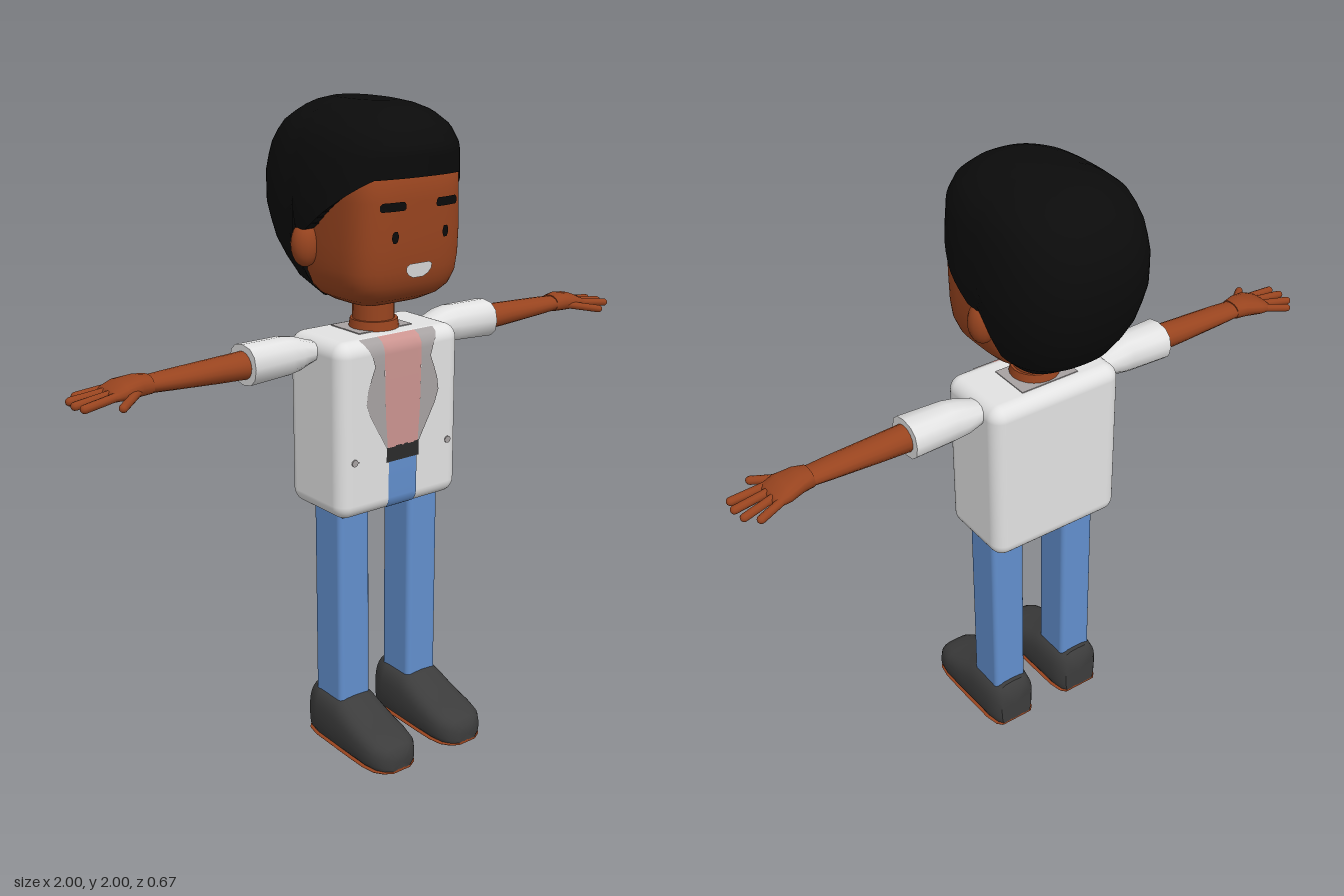
import * as THREE from 'three';
import { toCreasedNormals } from 'three/addons/utils/BufferGeometryUtils.js';
import { RoundedBoxGeometry } from 'three/addons/geometries/RoundedBoxGeometry.js';

const mat = (name, color) => Object.assign(new THREE.MeshStandardMaterial({ color }), { name });
const skin = mat('skin', 0x98441f), hairBlack = mat('hair black', 0x0b0b0b), white = mat('jacket white', 0xe2e2e2),
  grey = mat('lapel grey', 0xa7a2a2), pink = mat('shirt pink', 0xcb9490), denim = mat('denim blue', 0x628fcd),
  shoeGrey = mat('shoe grey', 0x3c3c3c), beltBlack = mat('belt black', 0x2a2a2a);

function add(parent, name, geo, material, x = 0, y = 0, z = 0) {
  const m = new THREE.Mesh(geo, material);
  m.name = name;
  m.position.set(x, y, z);
  parent.add(m);
  return m;
}

// Linear lookup in rows sorted by their first number
function lookup(rows, t) {
  if (t <= rows[0][0]) return rows[0];
  for (let i = 1; i < rows.length; i++) {
    if (t <= rows[i][0]) {
      const a = rows[i - 1], b = rows[i], k = (t - a[0]) / (b[0] - a[0]);
      return a.map((v, j) => v + (b[j] - v) * k);
    }
  }
  return rows[rows.length - 1];
}

const sp = (v, e) => Math.sign(v) * Math.abs(v) ** (2 / e);
// Closed loop of n points from a function of angle
const loop = (n, fn) => Array.from({ length: n }, (_, i) => fn(i / n * Math.PI * 2));
const centre = ring => {
  const c = [0, 1, 2].map(k => ring.reduce((s, p) => s + p[k], 0) / ring.length);
  return ring.map(() => c);
};

// Skin closed rings into a solid that always faces outwards
function loft(rings, crease = 0.8, caps = true) {
  if (caps) rings = [centre(rings[0]), ...rings, centre(rings[rings.length - 1])];
  const n = rings[0].length, pos = rings.flat(2), idx = [];
  for (let j = 0; j < rings.length - 1; j++) {
    for (let i = 0; i < n; i++) {
      const a = j * n + i, b = j * n + (i + 1) % n;
      idx.push(a, b, b + n, a, b + n, a + n);
    }
  }
  const p = i => new THREE.Vector3().fromArray(pos, idx[i] * 3);
  const o = new THREE.Vector3(...rings[1][0]);
  let volume = 0;
  for (let i = 0; i < idx.length; i += 3) volume += p(i).sub(o).dot(p(i + 1).sub(o).cross(p(i + 2).sub(o)));
  if (volume < 0) idx.reverse();
  const geo = new THREE.BufferGeometry();
  geo.setAttribute('position', new THREE.Float32BufferAttribute(pos, 3));
  geo.setIndex(idx);
  return toCreasedNormals(geo, crease);
}

// Painted patch hugging a front surface; rows run downwards as [y, xMin, xMax]
function patch(rows, zAt, side = 1) {
  const pos = [], idx = [], n = 8;
  rows.forEach(([y, x0, x1], j) => {
    const [a, b] = side > 0 ? [x0, x1] : [-x1, -x0];
    for (let i = 0; i <= n; i++) {
      const x = a + (b - a) * i / n;
      pos.push(x, y, zAt(x, y) + 0.004);
      if (j && i) {
        const d = j * (n + 1) + i, u = d - n - 1;
        idx.push(u - 1, d - 1, d, u - 1, d, u);
      }
    }
  });
  const geo = new THREE.BufferGeometry();
  geo.setAttribute('position', new THREE.Float32BufferAttribute(pos, 3));
  geo.setIndex(idx);
  geo.computeVertexNormals();
  return geo;
}

// Head profile: y, half width, front z, back z
const HEAD = [[1.41, 0.07, 0.09, -0.04], [1.425, 0.12, 0.14, -0.07], [1.445, 0.155, 0.18, -0.09], [1.47, 0.18, 0.205, -0.1],
  [1.51, 0.195, 0.222, -0.11], [1.56, 0.2, 0.23, -0.12], [1.65, 0.2, 0.235, -0.12], [1.82, 0.195, 0.235, -0.12], [1.88, 0.16, 0.18, -0.1]];
const faceZ = (x, y) => {
  const [, w, f, b] = lookup(HEAD, y), c = (f + b) / 2;
  return c + (f - c) * (1 - Math.min(1, Math.abs(x / w)) ** 4) ** 0.25;
};

// Hair profile: y, half width, front z, back z
const HAIR = [[1.42, 0.11, 0.265, -0.14], [1.45, 0.15, 0.265, -0.195], [1.5, 0.185, 0.265, -0.245], [1.6, 0.23, 0.265, -0.3],
  [1.7, 0.248, 0.265, -0.328], [1.8, 0.243, 0.265, -0.332], [1.88, 0.227, 0.275, -0.305], [1.93, 0.203, 0.25, -0.265],
  [1.97, 0.155, 0.2, -0.215], [1.99, 0.105, 0.15, -0.18], [2, 0.06, 0.1, -0.14]];
// Hairline height by direction: -1 is back, 1 is front
const HAIRLINE = [[-1, 1.42], [-0.16, 1.425], [-0.1, 1.64], [0.15, 1.645], [0.4, 1.7], [0.85, 1.8], [1, 1.805]];

function buildHead(g) {
  const steps = [];
  for (let i = 0; i < HEAD.length - 1; i++) steps.push(HEAD[i], lookup(HEAD, (HEAD[i][0] + HEAD[i + 1][0]) / 2));
  add(g, 'head', loft([...steps, HEAD[HEAD.length - 1]].map(([y, w, f, b]) => loop(48, t =>
    [w * sp(Math.sin(t), 4), y, (f + b) / 2 + (f - b) / 2 * sp(Math.cos(t), 4)])), 1), skin);

  const rings = [], n = 72, zc = -0.04;
  for (let j = 0; j <= 16; j++) {
    rings.push(loop(n, t => {
      const c = sp(Math.cos(t), 2.5), rim = lookup(HAIRLINE, c)[1];
      const y = rim + (2 - rim) * Math.sin(j / 16 * Math.PI / 2);
      const [, w, f, b] = lookup(HAIR, y);
      return [w * sp(Math.sin(t), 2.5), y, zc + c * (c > 0 ? f - zc : zc - b)];
    }));
  }
  // Underside of the hair folds inwards to the middle of the head
  rings.unshift(rings[0].map(p => [0, p[1], zc]));
  rings.push(centre(rings[rings.length - 1]));
  add(g, 'hair', loft(rings, 0.9, false), hairBlack);

  for (const s of [1, -1]) {
    add(g, 'ear', new THREE.SphereGeometry(1, 16, 12), skin, s * 0.212, 1.595, -0.03).scale.set(0.043, 0.066, 0.042);
    add(g, 'eyebrow', patch([[1.737, 0.062, 0.132], [1.73, 0.056, 0.14], [1.718, 0.055, 0.14], [1.712, 0.06, 0.136]], faceZ, s), hairBlack);
    add(g, 'eye', patch([[1.655, 0.085, 0.098], [1.645, 0.081, 0.103], [1.633, 0.081, 0.103], [1.622, 0.086, 0.098]], faceZ, s), hairBlack);
  }
  add(g, 'smile', patch([[1.557, -0.035, 0.035], [1.55, -0.047, 0.047], [1.535, -0.046, 0.046], [1.523, -0.036, 0.036], [1.514, -0.018, 0.018]], faceZ), white);
  add(g, 'neck', new THREE.CylinderGeometry(0.064, 0.064, 0.14, 20), skin, 0, 1.38, 0.02);
  add(g, 'neckBase', new THREE.CylinderGeometry(0.072, 0.077, 0.03, 20), skin, 0, 1.343, 0.022);
}

function buildTorso(g) {
  const r = 0.045, top = 1.33, bottom = 0.785;
  add(g, 'jacket', new RoundedBoxGeometry(0.46, top - bottom, 0.27, 5, r), white, 0, (top + bottom) / 2, 0.025);
  const frontZ = (x, y) => {
    const d = Math.min(r, Math.max(0, y - top + r, bottom + r - y));
    return 0.16 - r + Math.sqrt(r * r - d * d);
  };
  add(g, 'shirt', patch([[1.329, -0.07, 0.07], [1.318, -0.07, 0.07], [1.3, -0.07, 0.07], [1.28, -0.07, 0.07], [1.1, -0.066, 0.066], [0.99, -0.058, 0.058]], frontZ), pink);
  add(g, 'belt', patch([[0.993, -0.062, 0.062], [0.945, -0.062, 0.062]], frontZ), beltBlack);
  add(g, 'trouserFront', patch([[0.945, -0.054, 0.054], [0.83, -0.054, 0.054], [0.81, -0.054, 0.054], [0.795, -0.054, 0.054], [0.787, -0.054, 0.054]], frontZ), denim);
  for (const s of [1, -1]) {
    add(g, 'lapel', patch([[1.329, 0.07, 0.14], [1.318, 0.07, 0.136], [1.3, 0.07, 0.125], [1.28, 0.07, 0.115], [1.25, 0.069, 0.106],
      [1.22, 0.069, 0.118], [1.18, 0.068, 0.132], [1.14, 0.067, 0.138], [1.1, 0.066, 0.124], [0.99, 0.058, 0.062]], frontZ, s), grey);
    add(g, 'pocketSeam', patch([[0.971, 0.165, 0.185], [0.966, 0.165, 0.185]], frontZ, s), grey);
    add(g, 'pocketStud', new THREE.CylinderGeometry(0.011, 0.011, 0.004, 12), grey, s * 0.18, 0.968, 0.162).rotation.x = Math.PI / 2;
  }
  add(g, 'collar', new THREE.BoxGeometry(0.2, 0.006, 0.14), grey, 0, 1.33, 0.01);
  add(g, 'trouserSeat', new THREE.BoxGeometry(0.38, 0.006, 0.17), denim, 0, 0.784, 0.03);
}

// Limb along x from rows of x, centre y, centre z, half height, half depth
const limb = (rows, s, n, e) => loft(rows.map(([x, y, z, h, d]) => loop(n, t =>
  [s * x, y + h * sp(Math.sin(t), e), z + d * sp(Math.cos(t), e)])), 0.9);

function buildArm(g, s) {
  add(g, 'sleeve', limb([[0.215, 1.287, 0, 0.028, 0.045], [0.235, 1.287, 0, 0.034, 0.052], [0.28, 1.287, 0, 0.05, 0.06],
    [0.32, 1.287, 0.002, 0.057, 0.062], [0.46, 1.284, 0.006, 0.06, 0.068]], s, 12, 2.4), white);
  add(g, 'forearm', limb([[0.4, 1.283, 0.007, 0.044, 0.046], [0.55, 1.283, 0.006, 0.037, 0.044], [0.7, 1.284, 0.005, 0.029, 0.041],
    [0.78, 1.284, 0.004, 0.024, 0.037]], s, 16, 2), skin);
  add(g, 'palm', limb([[0.765, 1.285, 0.004, 0.027, 0.038], [0.8, 1.287, 0.004, 0.03, 0.046], [0.85, 1.283, 0, 0.026, 0.06],
    [0.885, 1.276, -0.002, 0.018, 0.056], [0.895, 1.274, -0.002, 0.01, 0.05]], s, 16, 2.4), skin);
  const fingers = [[0.87, -0.045, 0.952, -0.07], [0.88, -0.018, 0.985, -0.036], [0.88, 0.012, 0.992, 0.01], [0.87, 0.04, 0.985, 0.05], [0.81, 0.035, 0.9, 0.108]];
  for (const [x0, z0, x1, z1] of fingers) {
    const a = new THREE.Vector3(s * x0, 1.279, z0), b = new THREE.Vector3(s * x1, 1.264, z1);
    const dir = b.clone().sub(a), mid = a.clone().add(b).multiplyScalar(0.5);
    const f = add(g, 'finger', new THREE.CapsuleGeometry(0.0125, dir.length() - 0.012, 4, 10), skin, mid.x, mid.y, mid.z);
    f.quaternion.setFromUnitVectors(new THREE.Vector3(0, 1, 0), dir.normalize());
  }
}

// Shoe sections: z, half width, height
const SHOE = [[-0.06, 0.06, 0.15], [-0.045, 0.074, 0.168], [0, 0.084, 0.171], [0.09, 0.086, 0.168], [0.12, 0.087, 0.157], [0.18, 0.088, 0.13],
  [0.25, 0.088, 0.106], [0.295, 0.08, 0.093], [0.32, 0.062, 0.08], [0.335, 0.036, 0.06]];

function buildLeg(g, s) {
  add(g, 'trouserLeg', new RoundedBoxGeometry(0.118, 0.68, 0.136, 3, 0.018), denim, s * 0.136, 0.47, 0.037);
  const shoe = (base, height) => loft(SHOE.map(([z, w, h]) => loop(28, t =>
    [s * 0.135 + w * sp(Math.cos(t), 3.6), base + height(h) * Math.max(0, (sp(Math.sin(t), 2.6) + 0.65) / 1.65), z])), 0.8);
  add(g, 'shoe', shoe(0.006, h => h - 0.006), shoeGrey);
  add(g, 'sole', shoe(0, () => 0.009), skin);
}

export function createModel() {
  const model = new THREE.Group();
  model.name = 'figure';
  const part = (name, build, s) => {
    const g = new THREE.Group();
    g.name = name;
    build(g, s);
    model.add(g);
  };
  part('headGroup', buildHead);
  part('torso', buildTorso);
  for (const [side, s] of [['left', 1], ['right', -1]]) {
    part(side + 'Arm', buildArm, s);
    part(side + 'Leg', buildLeg, s);
  }
  return model;
}
